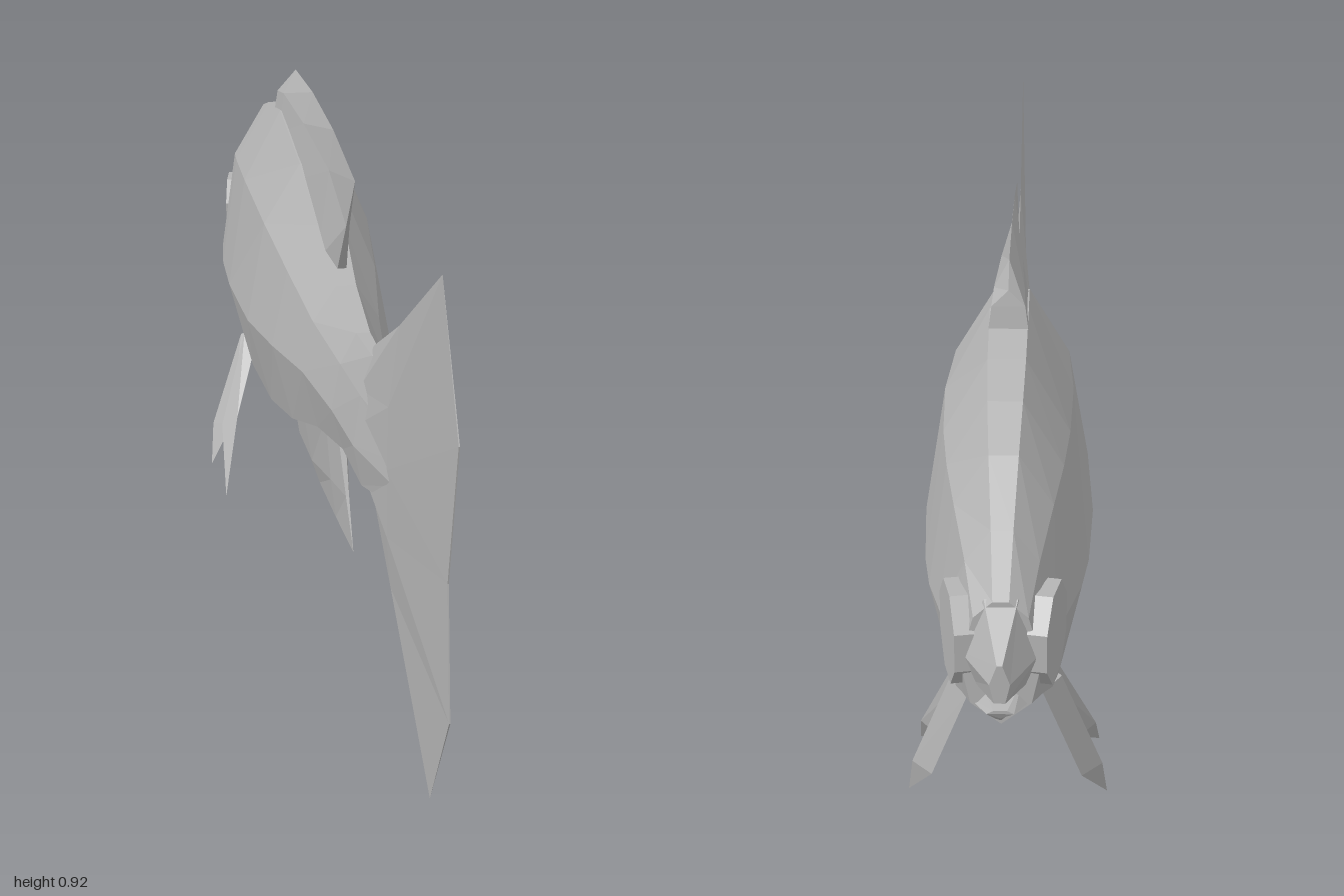
import * as THREE from 'three';
import { ConvexGeometry } from 'three/addons/geometries/ConvexGeometry.js';

const grey = new THREE.MeshStandardMaterial({ color: 0xb4b4b4, flatShading: true });
grey.name = 'pale grey';

// Skins rows of [x, y, z] half outlines (top to bottom, x >= 0), mirrored across x,
// with rows running towards the tail.
function loft(name, rows) {
  const rings = rows.map(h => [...h, ...h.slice().reverse().map(([x, y, z]) => [-x, y, z])]);
  const n = rings[0].length;
  const index = [];
  for (let i = 0; i < rings.length - 1; i++) {
    for (let j = 0; j < n; j++) {
      const k = (j + 1) % n;
      const a = i * n + j, b = i * n + k, c = b + n, d = a + n;
      index.push(a, d, c, a, c, b);
    }
  }
  // End caps stitched straight across
  const last = (rings.length - 1) * n;
  for (let j = 0; j < n / 2 - 1; j++) {
    const a = j, b = j + 1, c = n - 2 - j, d = n - 1 - j;
    index.push(a, b, c, a, c, d);
    index.push(last + a, last + c, last + b, last + a, last + d, last + c);
  }
  const geo = new THREE.BufferGeometry();
  geo.setAttribute('position', new THREE.Float32BufferAttribute(rings.flat(2), 3));
  geo.setIndex(index);
  const flat = geo.toNonIndexed();
  flat.computeVertexNormals();
  return part(name, flat);
}

function part(name, geo) {
  const mesh = new THREE.Mesh(geo, grey);
  mesh.name = name;
  return mesh;
}

// z, crest y, shoulder y, shoulder x, flank y, flank x, belly edge y, belly edge x, keel y
const BODY = [
  [-0.93, 0.575, 0.55, 0.04, 0.48, 0.06, 0.41, 0.045, 0.375],
  [-0.85, 0.65, 0.60, 0.055, 0.48, 0.08, 0.38, 0.06, 0.335],
  [-0.76, 0.73, 0.65, 0.075, 0.475, 0.10, 0.34, 0.075, 0.28],
  [-0.67, 0.78, 0.675, 0.09, 0.47, 0.12, 0.315, 0.085, 0.26],
  [-0.57, 0.81, 0.69, 0.10, 0.465, 0.132, 0.30, 0.09, 0.245],
  [-0.40, 0.835, 0.695, 0.106, 0.475, 0.141, 0.295, 0.095, 0.23],
  [-0.17, 0.79, 0.675, 0.10, 0.48, 0.135, 0.31, 0.09, 0.25],
  [0, 0.72, 0.635, 0.082, 0.49, 0.112, 0.34, 0.075, 0.31],
  [0.15, 0.655, 0.59, 0.06, 0.495, 0.08, 0.385, 0.052, 0.365],
  [0.31, 0.625, 0.57, 0.04, 0.485, 0.055, 0.41, 0.035, 0.38],
  [0.43, 0.63, 0.56, 0.028, 0.47, 0.04, 0.395, 0.025, 0.375],
  [0.62, 0.55, 0.52, 0.005, 0.48, 0.01, 0.44, 0.005, 0.42],
];

// One forked pelvic fin, built from convex pieces between small triangular sections
function pelvicFin(side) {
  const fin = new THREE.Group();
  fin.name = side > 0 ? 'leftPelvicFin' : 'rightPelvicFin';
  const rays = {
    rearRay: [
      [[0.055, 0.30, -0.585], [0.085, 0.29, -0.60], [0.065, 0.28, -0.63]],
      [[0.12, 0.145, -0.475], [0.15, 0.12, -0.50], [0.12, 0.11, -0.53]],
      [[0.16, 0.01, -0.37]],
    ],
    frontRay: [
      [[0.055, 0.30, -0.60], [0.09, 0.28, -0.62], [0.06, 0.27, -0.66]],
      [[0.125, 0.10, -0.54], [0.16, 0.09, -0.58], [0.125, 0.09, -0.62]],
      [[0.17, 0.01, -0.54]],
    ],
  };
  for (const [name, sections] of Object.entries(rays)) {
    for (let i = 0; i < 2; i++) {
      const pts = [...sections[i], ...sections[i + 1]]
        .map(([x, y, z]) => new THREE.Vector3(side * x, y, z));
      fin.add(part(name, new ConvexGeometry(pts)));
    }
  }
  return fin;
}

export function createModel() {
  const fish = new THREE.Group();
  fish.name = 'fish';

  fish.add(loft('body', BODY.map(([z, top, uy, ux, my, mx, ly, lx, bot]) => [
    [ux * 0.3, top, z], [ux, uy, z], [mx, my, z], [lx, ly, z], [0, bot, z],
  ])));

  // Mouth: a blunt upper snout over a shorter lower jaw
  fish.add(loft('upperJaw', [
    [[0.004, 0.51, -1], [0.015, 0.48, -1], [0.008, 0.45, -1]],
    [[0.025, 0.575, -0.92], [0.06, 0.49, -0.92], [0.04, 0.44, -0.92]],
  ]));
  fish.add(loft('lowerJaw', [
    [[0.01, 0.42, -0.97], [0.02, 0.415, -0.97], [0, 0.405, -0.965]],
    [[0.03, 0.43, -0.9], [0.052, 0.405, -0.9], [0, 0.36, -0.9]],
  ]));

  // Dorsal fin, thick at the front and thin at the trailing point
  fish.add(loft('dorsalFin', [
    [[0, 0.885, -0.46], [0.027, 0.86, -0.465], [0.035, 0.80, -0.475]],
    [[0, 0.917, -0.40], [0.025, 0.87, -0.40], [0.035, 0.79, -0.40]],
    [[0, 0.92, -0.20], [0.018, 0.86, -0.20], [0.035, 0.75, -0.20]],
    [[0, 0.905, 0.02], [0.008, 0.83, 0.02], [0.03, 0.66, 0.02]],
    [[0, 0.87, 0.23], [0.003, 0.77, 0.165], [0.01, 0.64, 0.09]],
  ]));

  fish.add(loft('analFin', [
    [[0.02, 0.25, -0.43], [0.01, 0.235, -0.43], [0, 0.22, -0.42]],
    [[0.03, 0.27, -0.27], [0.018, 0.19, -0.27], [0, 0.145, -0.27]],
    [[0.03, 0.28, -0.13], [0.016, 0.19, -0.13], [0, 0.14, -0.13]],
    [[0.02, 0.36, 0.05], [0.01, 0.23, 0.05], [0, 0.15, 0.05]],
    [[0.008, 0.38, 0.09], [0.003, 0.25, 0.17], [0, 0.165, 0.23]],
  ]));

  // Tail fin, a wedge fading to a thin notched edge
  fish.add(loft('tailFin', [
    [[0, 0.635, 0.40], [0.025, 0.56, 0.40], [0.035, 0.49, 0.40], [0.025, 0.43, 0.40], [0, 0.37, 0.40]],
    [[0, 0.745, 0.60], [0.012, 0.60, 0.58], [0.014, 0.49, 0.58], [0.012, 0.37, 0.58], [0, 0.265, 0.56]],
    [[0, 0.925, 0.88], [0.001, 0.715, 1], [0.001, 0.48, 0.955], [0.001, 0.265, 0.985], [0, 0.06, 0.87]],
  ]));

  for (const side of [1, -1]) {
    fish.add(pelvicFin(side));

    // Flat eight-sided eye disc, turned slightly forward
    const disc = new THREE.CylinderGeometry(0.078, 0.078, 0.035, 8);
    disc.rotateY(Math.PI / 8);
    disc.rotateZ(-side * Math.PI / 2);
    const eye = part(side > 0 ? 'leftEye' : 'rightEye', disc);
    eye.position.set(side * 0.064, 0.495, -0.865);
    eye.rotation.y = side * 0.2;
    fish.add(eye);
  }
  return fish;
}
